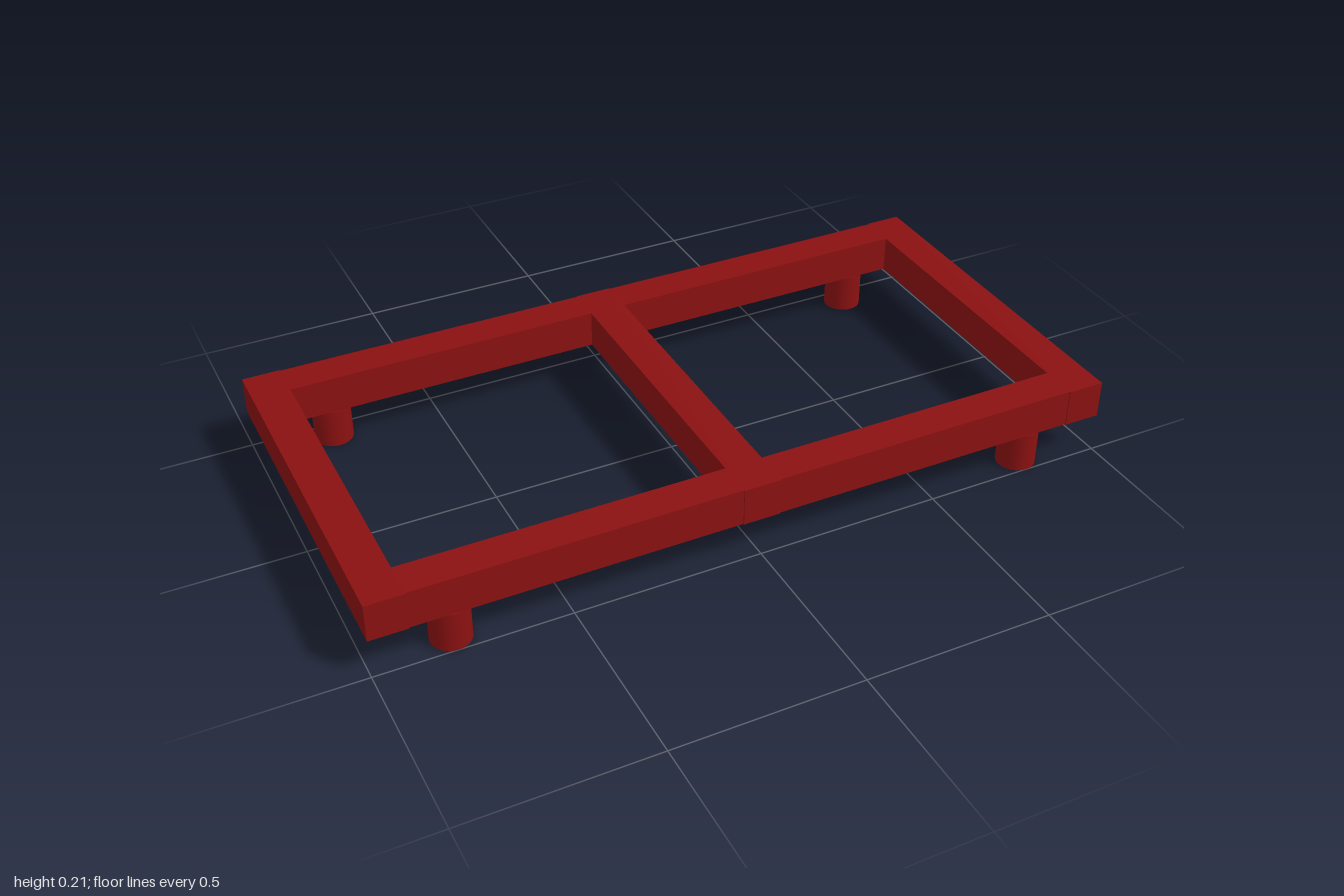
import * as THREE from 'three';

export function createModel() {
  const model = new THREE.Group();
  model.name = 'bedFrame';
  const red = new THREE.MeshStandardMaterial({ color: 0x8b1111 });

  const add = (name, geometry, x, y, z) => {
    const mesh = new THREE.Mesh(geometry, red);
    mesh.name = name;
    mesh.position.set(x, y, z);
    model.add(mesh);
  };

  const bottom = 0.108, top = 0.21, width = 0.1;
  const height = top - bottom, midY = (top + bottom) / 2;

  // Cross beams running the full depth: two ends and the middle
  const beam = new THREE.BoxGeometry(width, height, 1);
  add('rightEndBeam', beam, -0.95, midY, 0);
  add('middleBeam', beam, 0, midY, 0);
  add('leftEndBeam', beam, 0.95, midY, 0);

  // Long rails fitted between the beams, and round legs beneath them
  const rail = new THREE.BoxGeometry(0.85, height, 0.098);
  const leg = new THREE.CylinderGeometry(0.052, 0.052, bottom, 32);
  for (const [front, z] of [['front', 1], ['back', -1]]) {
    for (const [side, x] of [['Left', 1], ['Right', -1]]) {
      add(`${front}${side}Rail`, rail, x * 0.475, midY, z * 0.448);
      add(`${front}${side}Leg`, leg, x * 0.79, bottom / 2, z * 0.448);
    }
  }
  return model;
}
